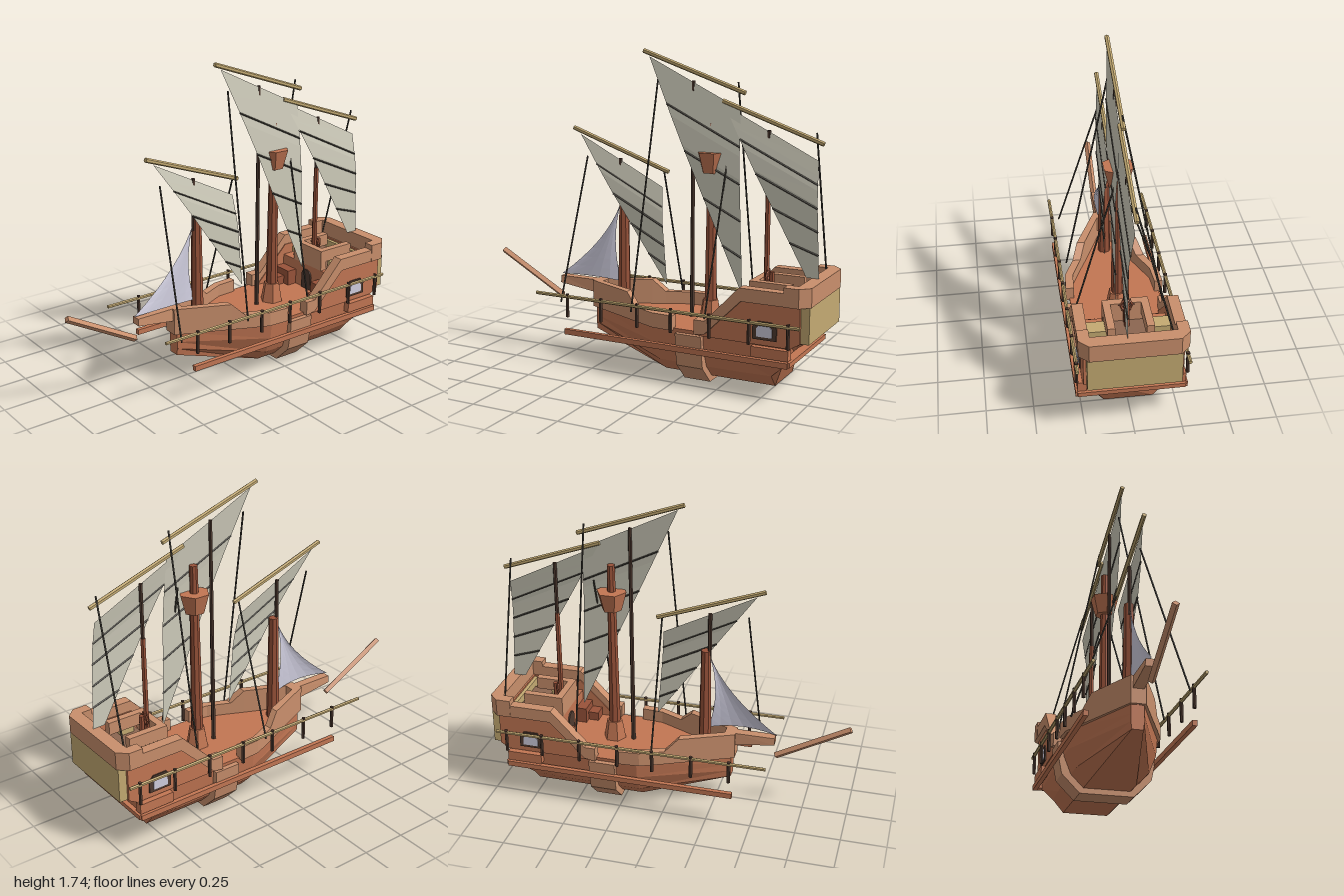
import * as THREE from 'three';

const paint = (name, color) => new THREE.MeshStandardMaterial({ name, color, flatShading: true });

export function createModel() {
  const model = new THREE.Group();
  model.name = 'sailingShip';
  const red = paint('red wood', 0xc27653), trim = paint('light wood', 0xc98f6c);
  const mastWood = paint('mast wood', 0x99533a), dark = paint('dark wood', 0x4f3a30);
  const gold = paint('golden wood', 0xc4aa72), rope = paint('rope', 0x45413a);
  const canvas = paint('canvas', 0xd0cdbc), jibCloth = paint('jib cloth', 0xd0cedf);
  const deckWood = paint('deck brown', 0x8c6650);
  canvas.side = jibCloth.side = THREE.DoubleSide;

  const add = (name, geo, mat) => {
    const m = new THREE.Mesh(geo, mat);
    m.name = name;
    model.add(m);
    return m;
  };
  // Box given by its ranges on x, y and z
  const box = (name, mat, [x0, x1], [y0, y1], [z0, z1]) =>
    add(name, new THREE.BoxGeometry(x1 - x0, y1 - y0, z1 - z0)
      .translate((x0 + x1) / 2, (y0 + y1) / 2, (z0 + z1) / 2), mat);
  // The same box on both sides
  const pair = (name, mat, [x0, x1], y, z) => {
    box(name, mat, [x0, x1], y, z);
    box(name, mat, [-x1, -x0], y, z);
  };
  // Round or polygonal bar between two points
  const bar = (name, mat, a, b, r0, r1 = r0, sides = 6) => {
    const p = new THREE.Vector3(...a), q = new THREE.Vector3(...b), d = q.clone().sub(p);
    const m = add(name, new THREE.CylinderGeometry(r1, r0, d.length(), sides), mat);
    m.position.copy(p).add(q).multiplyScalar(0.5);
    m.quaternion.setFromUnitVectors(new THREE.Vector3(0, 1, 0), d.normalize());
    return m;
  };
  // Closed solid through rings of points, turned outward by its signed volume
  const loft = (name, mat, rings) => {
    const n = rings[0].length, tris = [];
    for (let k = 0; k + 1 < rings.length; k++) for (let i = 0; i < n; i++) {
      const j = (i + 1) % n, a = rings[k], b = rings[k + 1];
      tris.push([a[i], a[j], b[j]], [a[i], b[j], b[i]]);
    }
    const first = rings[0], last = rings[rings.length - 1];
    for (let i = 1; i + 1 < n; i++) {
      tris.push([first[0], first[i + 1], first[i]], [last[0], last[i], last[i + 1]]);
    }
    const v = p => new THREE.Vector3(...p);
    const volume = tris.reduce((s, [a, b, c]) => s + v(a).dot(v(b).cross(v(c))), 0);
    const pos = tris.flatMap(([a, b, c]) => (volume < 0 ? [a, c, b] : [a, b, c])).flat();
    const geo = new THREE.BufferGeometry();
    geo.setAttribute('position', new THREE.Float32BufferAttribute(pos, 3));
    geo.computeVertexNormals();
    return add(name, geo, mat);
  };
  const shapeOf = pts => new THREE.Shape(pts.map(p => new THREE.Vector2(...p)));
  // Side plates on both sides, outlined by (z, y)
  const sidePlates = (name, mat, pts, x0, x1) => {
    for (const start of [x0, -x1]) {
      const g = new THREE.ExtrudeGeometry(shapeOf(pts), { depth: x1 - x0, bevelEnabled: false });
      add(name, g.rotateY(-Math.PI / 2).translate(start + x1 - x0, 0, 0), mat);
    }
  };
  // Level plate outlined by (x, z)
  const levelPlate = (name, mat, pts, y0, y1) => {
    const g = new THREE.ExtrudeGeometry(shapeOf(pts), { depth: y1 - y0, bevelEnabled: false });
    return add(name, g.rotateX(Math.PI / 2).translate(0, y1, 0), mat);
  };
  const mirrorRing = half => [...half, ...half.map(([x, y, z]) => [-x, y, z]).reverse()];

  // Hull with the deck as its top
  loft('hull', red, [
    [[0.035, 0.3, 0.34], [0.035, 0.24, 0.34], [0.035, 0.2, 0.34], [0.03, 0.16, 0.34]],
    [[0.25, 0.3, -0.15], [0.24, 0.2, -0.15], [0.2, 0.1, -0.15], [0.13, 0.03, -0.15]],
    [[0.25, 0.3, -0.6], [0.24, 0.2, -0.6], [0.2, 0.1, -0.6], [0.13, 0.03, -0.6]],
    [[0.25, 0.3, -0.9], [0.24, 0.19, -0.88], [0.19, 0.1, -0.78], [0.13, 0.03, -0.78]],
  ].map(mirrorRing));
  // Broad frame around the middle of the hull
  loft('hullFrame', trim, [-0.27, -0.42].map(z =>
    mirrorRing([[0.275, 0.28, z], [0.27, 0.2, z], [0.25, 0.1, z], [0.15, 0, z]])));
  pair('wale', red, [0.265, 0.29], [0.185, 0.215], [-0.9, 0.4]);
  pair('quarterMoulding', red, [0.235, 0.28], [0.22, 0.275], [-0.9, -0.7]);
  box('sternMoulding', red, [-0.28, 0.28], [0.19, 0.215], [-0.91, -0.86]);

  // Bulwarks running together at the bow
  for (const s of [1, -1]) {
    loft('bulwark', trim, [
      [0.27, -0.25, 0.37], [0.262, -0.13, 0.37], [0.205, 0, 0.37], [0.172, 0.07, 0.44], [0.04, 0.36, 0.44],
    ].map(([x, z, top]) => {
      const inner = Math.max(x - 0.045, 0);
      return [[s * x, 0.29, z], [s * x, top, z], [s * inner, top, z], [s * inner, 0.29, z]];
    }));
  }
  loft('bowBeam', trim, [[0.3, 0.35], [0.36, 0.37], [0.58, 0.4]].map(([z, y]) =>
    [[-0.03, y, z], [0.03, y, z], [0.025, 0.44, z], [-0.025, 0.44, z]]));
  bar('bowsprit', trim, [0, 0.32, 0.585], [0, 0.545, 0.99], 0.019, 0.019, 4);

  // Raised stern
  sidePlates('sternSide', red, [[-0.4, 0.28], [-0.42, 0.3], [-0.63, 0.51], [-0.95, 0.51],
    [-0.95, 0.31], [-0.9, 0.28]], 0.215, 0.255);
  sidePlates('sternRail', trim, [[-0.38, 0.29], [-0.44, 0.3], [-0.64, 0.5], [-0.88, 0.5],
    [-0.88, 0.57], [-0.63, 0.57], [-0.44, 0.37], [-0.38, 0.37]], 0.22, 0.278);
  levelPlate('sternTopRail', trim, [[0.28, -0.87], [0.28, -0.95], [0.23, -1], [-0.23, -1], [-0.28, -0.95],
    [-0.28, -0.87], [-0.22, -0.87], [-0.22, -0.93], [0.22, -0.93], [0.22, -0.87]], 0.5, 0.6);
  box('sternWall', red, [-0.22, 0.22], [0.3, 0.51], [-0.95, -0.92]);
  box('sternPanel', gold, [-0.24, 0.24], [0.31, 0.5], [-0.995, -0.9]);
  box('cabin', red, [-0.22, 0.22], [0.29, 0.45], [-0.93, -0.62]);
  box('poopDeck', deckWood, [-0.17, 0.17], [0.45, 0.458], [-0.93, -0.66]);
  pair('cabinPanel', gold, [0.1, 0.22], [0.42, 0.49], [-0.77, -0.69]);
  pair('upperStep', mastWood, [0.1, 0.22], [0.3, 0.39], [-0.62, -0.56]);
  pair('lowerStep', mastWood, [0.14, 0.22], [0.3, 0.35], [-0.56, -0.5]);
  // Rail around the helm
  box('helmRailFront', trim, [-0.12, 0.12], [0.45, 0.57], [-0.66, -0.62]);
  pair('helmRailArm', trim, [0.08, 0.12], [0.5, 0.57], [-0.85, -0.65]);
  bar('helmStand', mastWood, [0, 0.45, -0.7], [0, 0.6, -0.7], 0.015);
  const wheel = add('helmWheel', new THREE.TorusGeometry(0.03, 0.007, 4, 8), mastWood);
  wheel.position.set(0, 0.575, -0.68);
  for (let i = 0; i < 3; i++) {
    const c = 0.042 * Math.cos(i * Math.PI / 3), d = 0.042 * Math.sin(i * Math.PI / 3);
    bar('helmSpoke', mastWood, [-c, 0.575 - d, -0.68], [c, 0.575 + d, -0.68], 0.004, 0.004, 4);
  }
  // Arched cabin door
  const arch = new THREE.Shape();
  arch.moveTo(-0.04, 0.3).lineTo(0.04, 0.3).lineTo(0.04, 0.38);
  arch.absarc(0, 0.38, 0.04, 0, Math.PI);
  add('cabinDoor', new THREE.ExtrudeGeometry(arch, { depth: 0.008, bevelEnabled: false, curveSegments: 6 })
    .translate(0, 0, -0.62), dark);
  // Side windows
  const windowOutline = k => [[-0.065, -0.045], [0.065, -0.045], [0.065, 0.02], [0.04, 0.05], [-0.04, 0.05],
    [-0.065, 0.02]].map(([z, y]) => [-0.765 + z * k, 0.355 + y * k]);
  sidePlates('windowFrame', dark, windowOutline(1), 0.254, 0.262);
  sidePlates('windowPane', jibCloth, windowOutline(0.65), 0.262, 0.267);

  // Outboard rails and their posts
  for (const x of [-0.285, 0.285]) {
    bar('sideRail', gold, [x, 0.4, -0.96], [x, 0.4, 0.58], 0.01);
    for (const z of [0.38, 0.17, -0.05, -0.25, -0.47, -0.69, -0.9]) {
      bar('railPost', dark, [x, 0.285, z], [x, 0.415, z], 0.01);
    }
  }

  // Masts and lookout
  bar('mainMastFoot', red, [0, 0.3, -0.35], [0, 0.41, -0.35], 0.065, 0.045);
  bar('mainMast', mastWood, [0, 0.4, -0.35], [0, 1.36, -0.35], 0.034, 0.022, 8);
  bar('mainTopmast', dark, [0, 0.3, -0.24], [0, 1.58, -0.24], 0.013, 0.01);
  bar('foreMast', mastWood, [0, 0.3, 0.18], [0, 0.92, 0.18], 0.037, 0.027, 8);
  bar('foreTopmast', dark, [0, 0.85, 0.2], [0, 1.14, 0.2], 0.011);
  bar('mizzenMast', mastWood, [0, 0.45, -0.67], [0, 1.04, -0.67], 0.016, 0.014);
  bar('mizzenTopmast', dark, [0, 1, -0.67], [0, 1.34, -0.67], 0.011);
  bar('lookoutBasket', red, [0, 1.1, -0.35], [0, 1.21, -0.35], 0.055, 0.085);

  // Sails: A and B are the ends of the head, C and D those of the foot, as (z, y)
  const between = (p, q, t) => [p[0] + (q[0] - p[0]) * t, p[1] + (q[1] - p[1]) * t];
  const sail = (name, A, B, C, D, yardA, yardB) => {
    const offset = t => Math.min(0.036, 0.004 + 0.1 * t);
    const geo = new THREE.PlaneGeometry(1, 1, 1, 8), p = geo.attributes.position;
    for (let i = 0; i < p.count; i++) {
      const t = 0.5 - p.getY(i), u = p.getX(i) + 0.5;
      const [z, y] = between(between(A, D, t), between(B, C, t), u);
      p.setXYZ(i, offset(t), y, z);
    }
    geo.computeVertexNormals();
    add(name, geo, canvas);
    for (const t of [0.2, 0.4, 0.6, 0.8]) {
      const l = between(A, D, t), r = between(B, C, t);
      bar('batten', rope, [offset(t), l[1], l[0]], [offset(t), r[1], r[0]], 0.005, 0.005, 4);
    }
    bar('yard', gold, [0, yardA[1], yardA[0]], [0, yardB[1], yardB[0]], 0.013);
  };
  sail('foreSail', [0.45, 1.26], [-0.06, 1], [-0.105, 0.47], [-0.1, 0.475], [0.495, 1.295], [-0.095, 1.085]);
  sail('mainSail', [0.02, 1.7], [-0.51, 1.44], [-0.548, 0.47], [-0.542, 0.475], [0.055, 1.73], [-0.535, 1.525]);
  sail('mizzenSail', [-0.42, 1.46], [-0.94, 1.2], [-0.968, 0.6], [-0.9, 0.6], [-0.41, 1.48], [-0.965, 1.285]);

  // Jib, hollowed along its edges and bellied to one side
  const jib = new THREE.PlaneGeometry(1, 1, 6, 8), jp = jib.attributes.position;
  for (let i = 0; i < jp.count; i++) {
    const u = jp.getX(i) + 0.5, t = jp.getY(i) + 0.5, bow = t * (1 - t);
    const front = 0.59 - 0.39 * t - 0.22 * bow, back = 0.2 + 0.14 * bow;
    jp.setXYZ(i, 0.1 * u * (1 - u) * (1 - t), 0.445 + 0.45 * t + 0.06 * u * (1 - u) * (1 - t), front + (back - front) * u);
  }
  jib.computeVertexNormals();
  add('jib', jib, jibCloth);

  // Stays from the yards down to the sides
  for (const [y, z, x, footY, footZ] of [
    [1.14, 0.41, 0.24, 0.35, 0.45], [1.58, -0.03, 0.24, 0.35, 0.01], [1.26, -0.45, 0.24, 0.35, -0.42],
    [1.1, -0.065, -0.25, 0.35, -0.065], [1.58, -0.495, -0.24, 0.35, -0.505], [1.34, -0.925, -0.22, 0.5, -0.93],
  ]) bar('stay', rope, [0, y, z], [x, footY, footZ], 0.005, 0.005, 5);

  return model;
}
